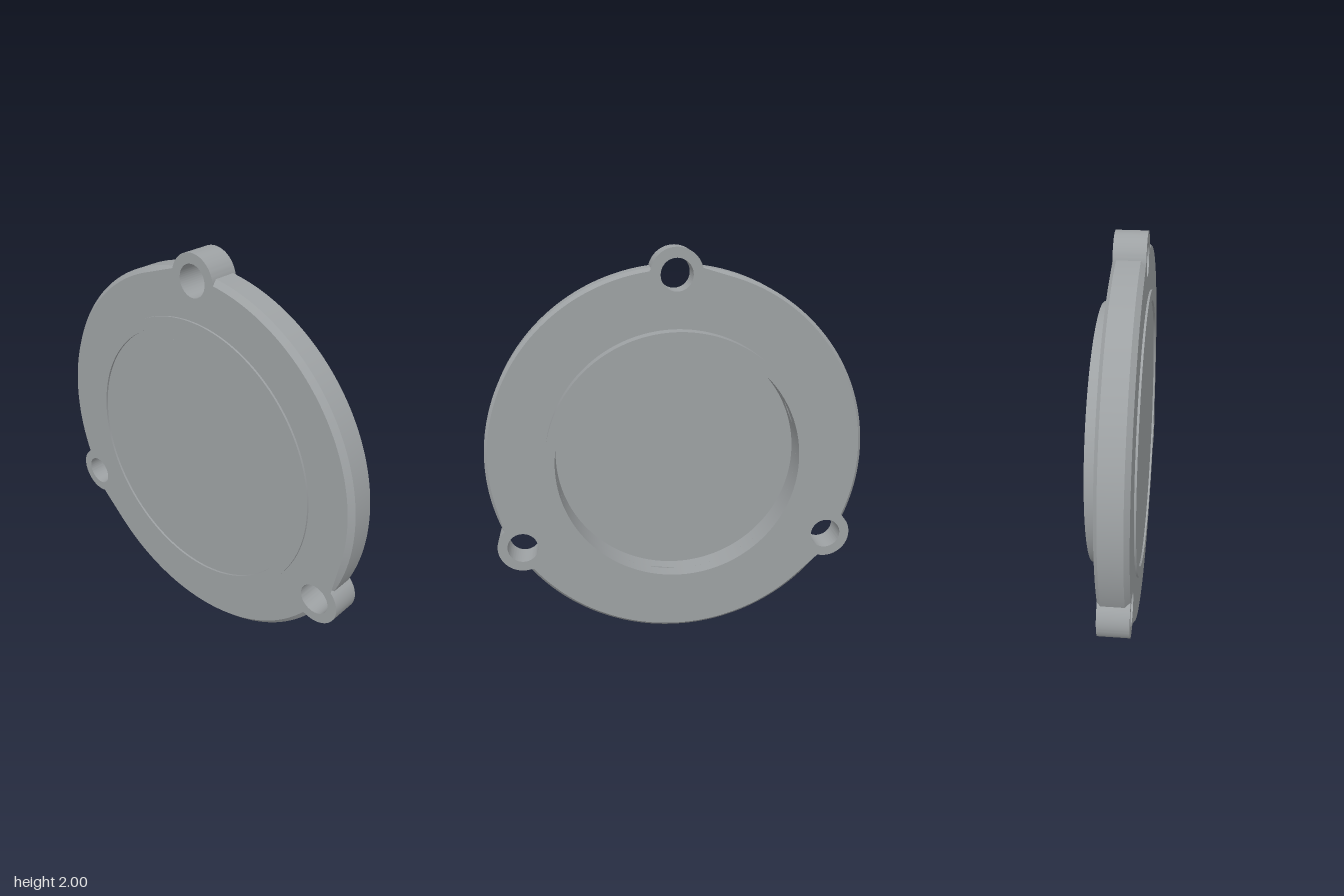
import * as THREE from 'three';
import { toCreasedNormals } from 'three/addons/utils/BufferGeometryUtils.js';

const R = 0.957;                  // disc radius, also its centre height
const BACK = -0.108, FACE = 0.041; // disc faces along x
const LUG_R = 0.128, HOLE_R = 0.078, LUG_DIST = 0.915;
const POCKET_R = 0.61, FLOOR = -0.038;
const LUG_ANGLES = [90, 209.6, 330.4].map(THREE.MathUtils.degToRad);

function circle(r, hole = 0, x = 0, y = 0) {
  const s = new THREE.Shape().absarc(x, y, r, 0, Math.PI * 2, false);
  if (hole) s.holes.push(new THREE.Path().absarc(x, y, hole, 0, Math.PI * 2, true));
  return s;
}

// Extrude along z, optionally reshape, then turn the axis to x
function plate(name, shape, x0, x1, material, { steps = 1, segments = 96, reshape } = {}) {
  const geo = new THREE.ExtrudeGeometry(shape, {
    depth: x1 - x0, steps, curveSegments: segments, bevelEnabled: false });
  if (reshape) reshape(geo.attributes.position, x1 - x0);
  geo.translate(0, 0, x0).rotateY(Math.PI / 2).translate(0, R, 0);
  const mesh = new THREE.Mesh(toCreasedNormals(geo, 0.5), material);
  mesh.name = name;
  return mesh;
}

// Disc outline with a round bite at each lug and the pocket as a hole
function discShape() {
  const bite = LUG_R - 0.002;
  const phi = Math.acos((LUG_DIST ** 2 + R ** 2 - bite ** 2) / (2 * LUG_DIST * R));
  const beta = Math.atan2(R * Math.sin(phi), R * Math.cos(phi) - LUG_DIST);
  const s = new THREE.Shape();
  LUG_ANGLES.forEach((a, i) => {
    const next = i < 2 ? LUG_ANGLES[i + 1] : LUG_ANGLES[0] + Math.PI * 2;
    s.absarc(LUG_DIST * Math.cos(a), LUG_DIST * Math.sin(a), bite, a - beta, a + beta, true);
    s.absarc(0, 0, R, a + phi, next - phi, false);
  });
  s.holes.push(new THREE.Path().absarc(0, 0, POCKET_R, 0, Math.PI * 2, true));
  return s;
}

// Chamfer the outer rim: regroup the four layers and pull in the end ones
function chamferRim(pos, depth) {
  const back = 0.024, front = 0.016;
  const layers = [0, back, depth - front, depth];
  const pull = [back, 0, 0, front];
  for (let i = 0; i < pos.count; i++) {
    const x = pos.getX(i), y = pos.getY(i);
    const k = Math.round(pos.getZ(i) / depth * 3);
    const r = Math.hypot(x, y);
    const f = r > R - 1e-4 ? (R - pull[k]) / r : 1;
    pos.setXYZ(i, x * f, y * f, layers[k]);
  }
}

export function createModel() {
  const grey = new THREE.MeshStandardMaterial({ color: 0x9da1a3 });
  grey.name = 'grey metal';
  const model = new THREE.Group();
  model.name = 'roundCover';

  model.add(
    plate('disc', discShape(), BACK, FACE, grey, { steps: 3, segments: 72, reshape: chamferRim }),
    plate('pocketFloor', circle(POCKET_R), BACK, FLOOR, grey),
    plate('frontCollar', circle(0.659, POCKET_R), FACE, 0.118, grey),
    plate('backRidge', circle(0.723, 0.67), -0.118, BACK, grey)
  );

  // Mounting lugs with through holes
  const lugs = new THREE.Group();
  lugs.name = 'mountingLugs';
  for (const a of LUG_ANGLES) {
    const shape = circle(LUG_R, HOLE_R, LUG_DIST * Math.cos(a), LUG_DIST * Math.sin(a));
    lugs.add(plate('lug', shape, BACK, FACE, grey, { segments: 48 }));
  }
  model.add(lugs);
  return model;
}
